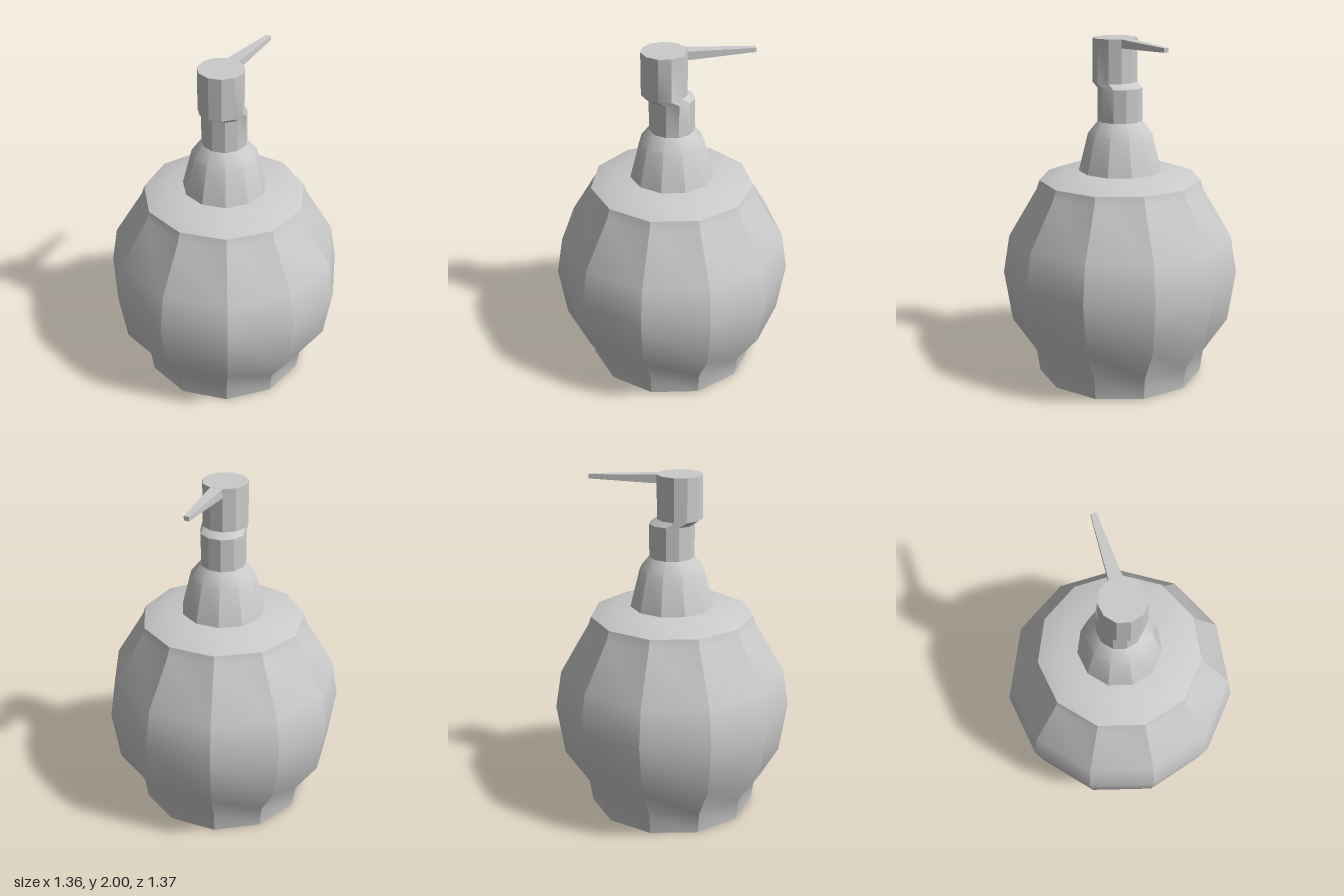
import * as THREE from 'three';
import { toCreasedNormals } from 'three/addons/utils/BufferGeometryUtils.js';

const SIDES = 11;
const AXIS_X = -0.0165; // the 11-sided outline is centred by its bounds, not its axis
const HEAD_SHIFT = 0.044;
const CREASE = THREE.MathUtils.degToRad(26.5);

const material = new THREE.MeshStandardMaterial({ color: 0xcccccc });

function makeMesh(name, geometry) {
  const mesh = new THREE.Mesh(geometry, material);
  mesh.name = name;
  return mesh;
}

// Eleven-sided turned part; profile rows are [radius, height, forward shift]
function turned(name, profile) {
  const points = profile.map(([r, y]) => new THREE.Vector2(r, y));
  const geometry = new THREE.LatheGeometry(points, SIDES, Math.PI / 2);
  const pos = geometry.attributes.position;
  for (let i = 0; i < pos.count; i++) {
    const shift = profile[i % profile.length][2] || 0;
    pos.setXYZ(i, pos.getX(i) + AXIS_X, pos.getY(i), pos.getZ(i) + shift);
  }
  return makeMesh(name, toCreasedNormals(geometry, CREASE));
}

// Tapered bar running from one facet of the pump head to a small tip
function spout() {
  const box = new THREE.BoxGeometry(1, 1, 1);
  const pos = box.attributes.position;
  for (let i = 0; i < pos.count; i++) {
    const right = pos.getX(i) > 0;
    const top = pos.getY(i) > 0;
    if (pos.getZ(i) > 0) {
      pos.setXYZ(i, right ? 0.0375 : -0.035, top ? 2 : 1.951, right ? -0.075 : -0.086);
    } else {
      pos.setXYZ(i, right ? 0.074 : 0.044, top ? 1.988 : 1.964, right ? -0.459 : -0.464);
    }
  }
  const geometry = box.toNonIndexed();
  geometry.computeVertexNormals();
  return makeMesh('spout', geometry);
}

export function createModel() {
  const group = new THREE.Group();
  group.name = 'soapDispenser';

  // Round bottle with a narrow foot and shallow bevelled top
  group.add(turned('bottle', [
    [0, 0], [0.49, 0], [0.508, 0.13], [0.647, 0.34], [0.692, 0.64],
    [0.655, 0.86], [0.488, 1.14], [0.472, 1.19], [0.337, 1.24], [0, 1.24],
  ]));

  // Conical collar
  group.add(turned('collar', [
    [0.242, 1.24], [0.187, 1.46], [0.13, 1.53],
  ]));

  // Stem with the head stepped forward
  group.add(turned('pump', [
    [0.13, 1.53], [0.13, 1.722], [0.13, 1.75, HEAD_SHIFT],
    [0.13, 2, HEAD_SHIFT], [0, 2, HEAD_SHIFT],
  ]));

  group.add(spout());
  return group;
}
